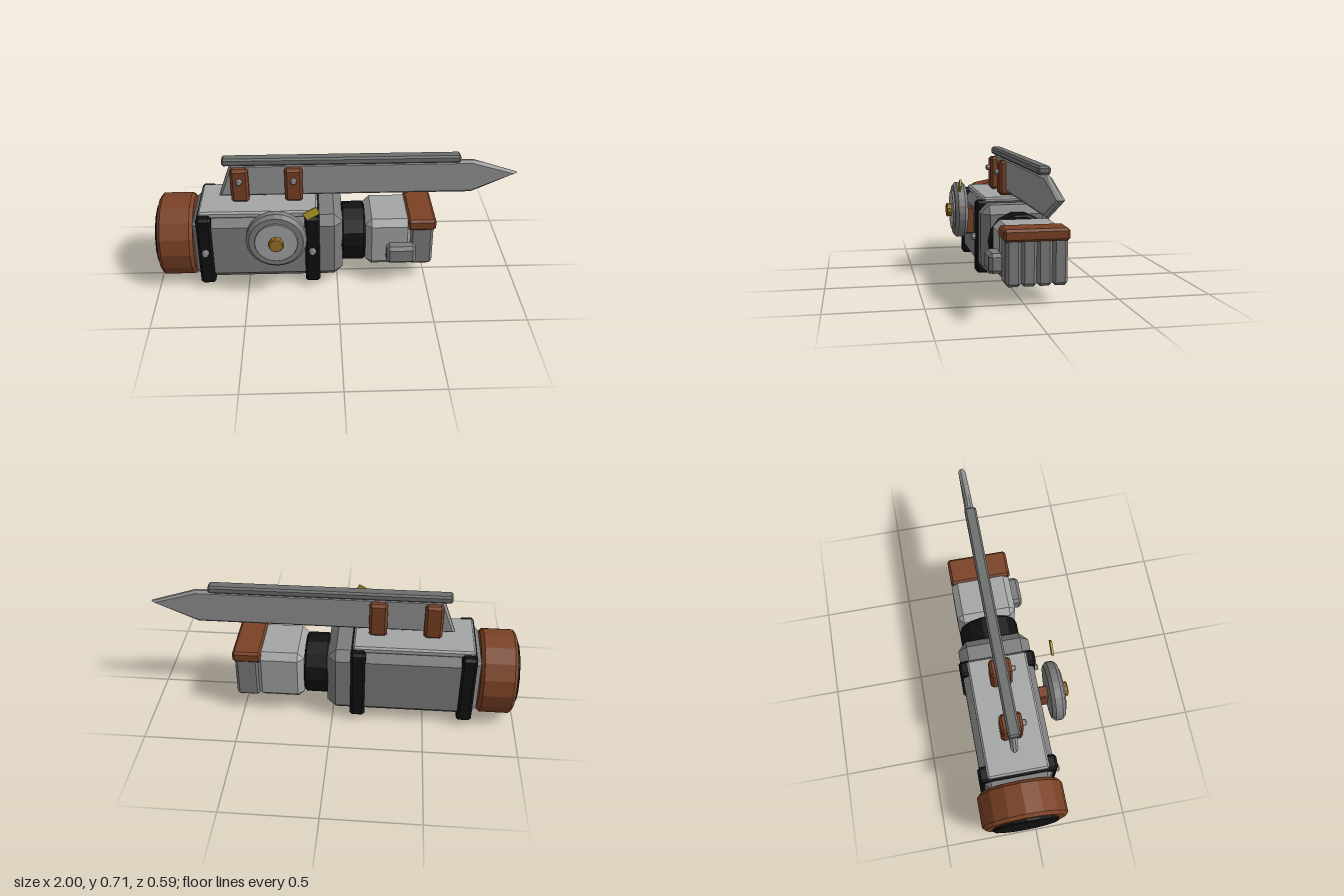
import * as THREE from 'three';
import { ConvexGeometry } from 'three/addons/geometries/ConvexGeometry.js';

const paint = (name, color) => {
  const m = new THREE.MeshStandardMaterial({ color });
  m.name = name;
  return m;
};

export function createModel() {
  const model = new THREE.Group();
  model.name = 'bladedMechanicalForearm';
  const steel = paint('steel', 0x7c7c7c);
  const paleSteel = paint('paleSteel', 0xa4a5a5);
  const bladeSteel = paint('bladeSteel', 0x949494);
  const darkSteel = paint('darkSteel', 0x6c6f6d);
  const leather = paint('leather', 0x7a4125);
  const rubber = paint('rubber', 0x111111);
  const brass = paint('brass', 0x9c7228);
  const yellow = paint('yellow', 0xb9a42c);

  const add = (name, geometry, material) => {
    const mesh = new THREE.Mesh(geometry, material);
    mesh.name = name;
    model.add(mesh);
    return mesh;
  };

  // Box with all edges chamfered, given by its [min, max] on each axis
  const block = (name, material, xs, ys, zs, c) => {
    const pts = [];
    const mid = [xs, ys, zs].map(([a, b]) => (a + b) / 2);
    const half = [xs, ys, zs].map(([a, b]) => (b - a) / 2);
    for (const sx of [-1, 1]) for (const sy of [-1, 1]) for (const sz of [-1, 1]) {
      for (let axis = 0; axis < 3; axis++) {
        const p = [sx, sy, sz].map((s, i) => mid[i] + s * (half[i] - (i === axis ? 0 : c)));
        pts.push(new THREE.Vector3(...p));
      }
    }
    return add(name, new ConvexGeometry(pts), material);
  };

  // Faceted, bevelled disc running from a to b along the x or z axis
  const disc = (name, material, axis, [a, b], r, bevel, sides, [u, v]) => {
    const profile = [[0, a], [r - bevel, a], [r, a + bevel], [r, b - bevel], [r - bevel, b], [0, b]];
    const lathe = new THREE.LatheGeometry(profile.map(p => new THREE.Vector2(...p)), sides);
    if (axis === 'x') lathe.rotateZ(-Math.PI / 2).translate(0, u, v);
    else lathe.rotateX(Math.PI / 2).translate(u, v, 0);
    const flat = lathe.toNonIndexed();
    flat.computeVertexNormals();
    return add(name, flat, material);
  };

  const axis = [0.237, -0.06];

  // Forearm housing, rear cuff and wrist
  block('forearmHousing', steel, [-0.8, 0.03], [0.043, 0.435], [-0.255, 0.138], 0.048);
  disc('rearCuff', leather, 'x', [-0.985, -0.79], 0.234, 0.018, 16, axis);
  disc('rearCap', rubber, 'x', [-1, -0.97], 0.18, 0.004, 16, axis);
  disc('wrist', rubber, 'x', [0.025, 0.157], 0.167, 0.01, 14, axis);

  // Straps with side screws
  for (const x of [-0.725, -0.138]) {
    block('strap', rubber, [x - 0.041, x + 0.041], [0.028, 0.447], [-0.267, 0.151], 0.014);
    disc('strapScrew', paleSteel, 'z', [0.14, 0.176], 0.02, 0.007, 8, [x, 0.238]);
  }
  block('topPlate', paleSteel, [-0.757, -0.107], [0.425, 0.465], [-0.222, 0.105], 0.01);

  // Fist
  block('palm', paleSteel, [0.157, 0.425], [0.095, 0.386], [-0.228, 0.105], 0.035);
  for (let i = 0; i < 4; i++) {
    const z = 0.06 - i * 0.08;
    block('finger', steel, [0.405, 0.535], [0.098, 0.36], [z - 0.04, z + 0.04], 0.016);
  }
  block('knuckleGuard', leather, [0.39, 0.546], [0.328, 0.393], [-0.228, 0.112], 0.013);
  block('thumb', steel, [0.272, 0.434], [0.146, 0.251], [0.085, 0.166], 0.018);

  // Dial on the front side
  const dial = [-0.33, 0.368];
  block('dialMount', leather, [-0.363, -0.297], [0.225, 0.385], [0.11, 0.195], 0.006);
  disc('dialRim', steel, 'z', [0.183, 0.256], 0.163, 0.018, 24, dial);
  disc('dialFace', paleSteel, 'z', [0.25, 0.266], 0.115, 0.002, 24, dial);
  disc('dialHub', brass, 'z', [0.26, 0.295], 0.04, 0.005, 10, dial);
  const pointer = add('dialPointer', new THREE.BoxGeometry(0.08, 0.044, 0.011), yellow);
  pointer.position.set(-0.14, 0.532, 0.237);
  pointer.rotation.z = Math.PI / 6;

  // Blade with bevelled edges
  const outline = new THREE.Shape(
    [[-0.65, 0.483], [0.75, 0.483], [1, 0.597], [0.75, 0.679], [-0.58, 0.679]]
      .map(p => new THREE.Vector2(...p)));
  const blade = new THREE.ExtrudeGeometry(outline, {
    depth: 0.014, bevelThickness: 0.013, bevelSize: 0.014, bevelOffset: -0.014, bevelSegments: 1,
  });
  add('blade', blade.translate(0, 0, -0.065), bladeSteel);
  block('bladeSpine', darkSteel, [-0.622, 0.679], [0.674, 0.717], [-0.09, -0.026], 0.01);

  // Brackets holding the blade
  for (const x of [-0.53, -0.235]) {
    block('bladeBracket', leather, [x - 0.049, x + 0.049], [0.464, 0.663], [-0.116, 0], 0.014);
    disc('bracketScrew', paleSteel, 'z', [-0.01, 0.023], 0.017, 0.006, 8, [x, 0.597]);
  }
  return model;
}
